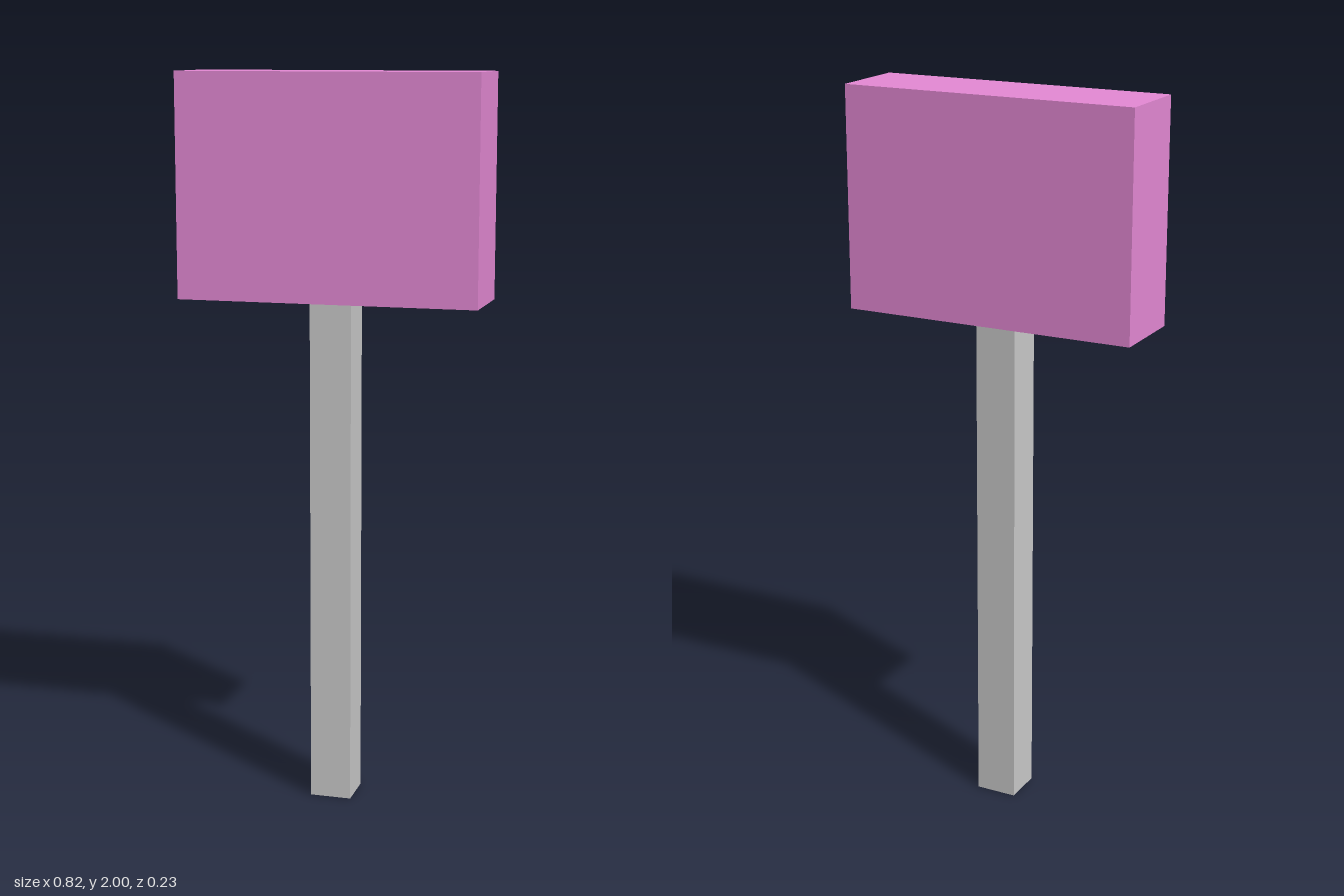
import * as THREE from 'three';

function box(name, width, height, depth, bottom, color) {
  const mesh = new THREE.Mesh(
    new THREE.BoxGeometry(width, height, depth),
    new THREE.MeshStandardMaterial({ color, flatShading: true })
  );
  mesh.name = name;
  mesh.position.y = bottom + height / 2;
  return mesh;
}

export function createModel() {
  const group = new THREE.Group();
  group.name = 'mallet';

  // Square handle standing on the ground
  group.add(box('handle', 0.114, 1.398, 0.114, 0, 0xcccccc));

  // Wide block head resting on the handle
  group.add(box('head', 0.82, 0.602, 0.226, 1.398, 0xe68ad6));

  return group;
}
